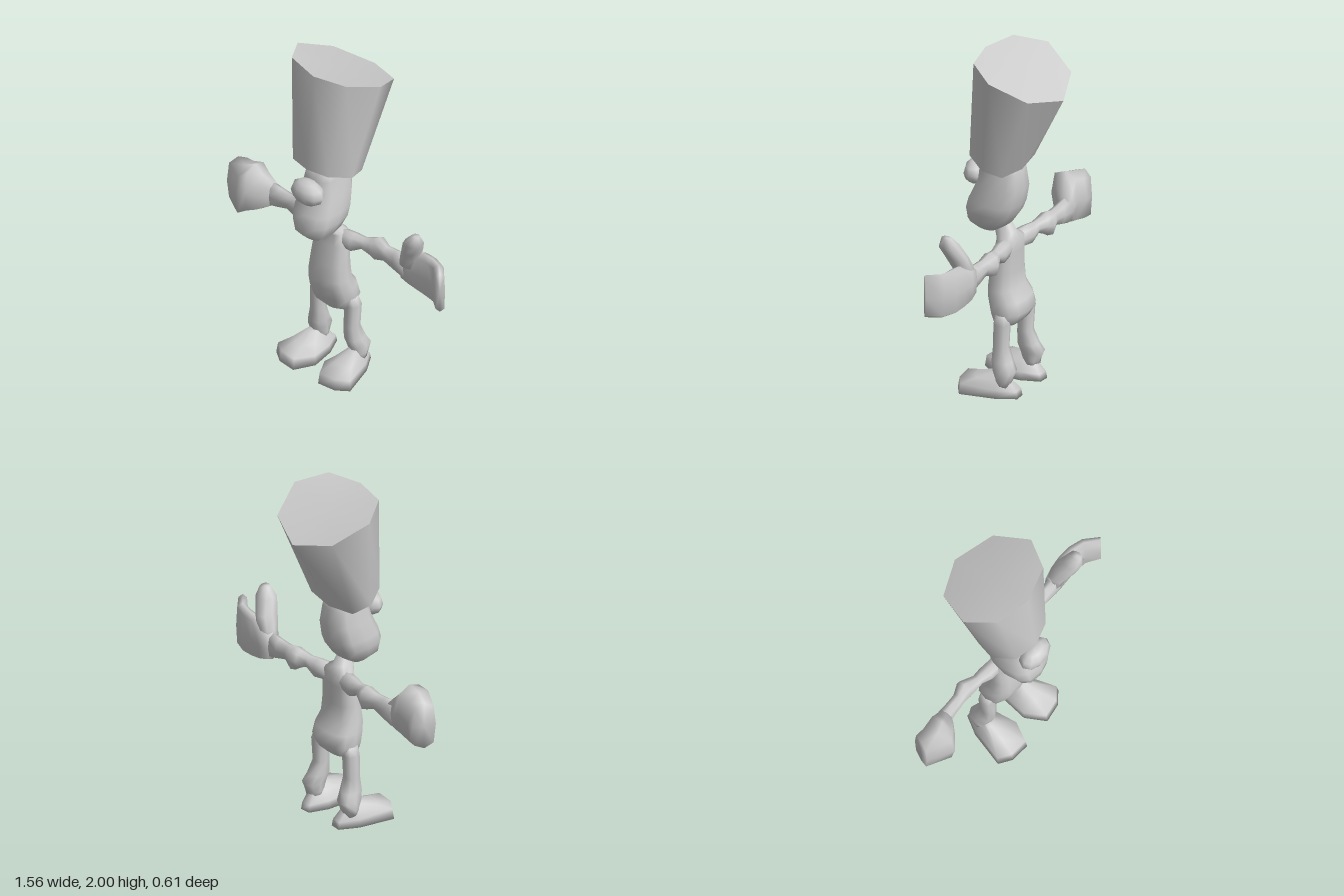
import * as THREE from 'three';

const CX = -0.05; // the body's middle line
const grey = new THREE.MeshStandardMaterial({ color: 0xcccccc });
grey.name = 'plain grey';

// Skin a list of equal-length point rings, cap both ends, face outwards.
function loft(name, rings, sharpCaps = false) {
  const n = rings[0].length, pos = rings.flat(2), idx = [];
  for (let r = 0; r < rings.length - 1; r++)
    for (let k = 0; k < n; k++) {
      const a = r * n + k, b = r * n + (k + 1) % n;
      idx.push(a, b, a + n, b, b + n, a + n);
    }
  const cap = (ring, start, flip) => {
    let s = start;
    if (sharpCaps) { s = pos.length / 3; pos.push(...ring.flat()); }
    const c = pos.length / 3;
    pos.push(...[0, 1, 2].map(i => ring.reduce((t, p) => t + p[i], 0) / n));
    for (let k = 0; k < n; k++) {
      const a = s + k, b = s + (k + 1) % n;
      flip ? idx.push(c, b, a) : idx.push(c, a, b);
    }
  };
  cap(rings[0], 0, true);
  cap(rings.at(-1), (rings.length - 1) * n, false);
  // a negative volume means the rings run the other way round
  const v = i => new THREE.Vector3().fromArray(pos, i * 3);
  let vol = 0;
  for (let i = 0; i < idx.length; i += 3)
    vol += v(idx[i]).dot(v(idx[i + 1]).cross(v(idx[i + 2])));
  if (vol < 0) idx.reverse();
  const g = new THREE.BufferGeometry();
  g.setAttribute('position', new THREE.Float32BufferAttribute(pos, 3));
  g.setIndex(idx);
  g.computeVertexNormals();
  const m = new THREE.Mesh(g, grey);
  m.name = name;
  return m;
}

// Unit ring; a lower power is boxier.
function unitRing(n, power) {
  const f = t => Math.abs(t) < 1e-6 ? 0 : Math.sign(t) * Math.abs(t) ** power;
  return Array.from({ length: n }, (_, k) => {
    const a = k / n * Math.PI * 2;
    return [f(Math.cos(a)), f(Math.sin(a))];
  });
}

// Level ring: y, centre x, half width, back z, front z
const level = (n, power, side = 1) => ([y, x, rx, z0, z1]) =>
  unitRing(n, power).map(([u, w]) => [side * (x + u * rx), y, (z0 + z1) / 2 + w * (z1 - z0) / 2]);

// Upright ring across an arm: x, low y, high y, centre z, half depth, yaw
const upright = (side, power) => ([x, y0, y1, z, t, yaw = 0]) =>
  unitRing(8, power).map(([u, w]) => [
    side * (x - u * t * Math.sin(yaw)), (y0 + y1) / 2 + w * (y1 - y0) / 2, z + u * t * Math.cos(yaw)]);

// Full ring from the half running front to back
const mirrorRing = half => [...half, ...half.slice(1, -1).reverse().map(([x, y, z]) => [-x, y, z])];

export function createModel() {
  const model = new THREE.Group();
  model.name = 'figure';
  model.position.x = CX;

  // Tall flared hat with a slanted top
  model.add(loft('hat', [
    mirrorRing([[0, 1.4, 0.245], [0.13, 1.39, 0.21], [0.195, 1.355, 0.09], [0.165, 1.33, -0.02], [0, 1.32, -0.045]]),
    mirrorRing([[0, 2, 0.19], [0.2, 2, 0.14], [0.3, 1.96, -0.02], [0.22, 1.865, -0.22], [0, 1.81, -0.31]]),
  ], true));

  // Head with a heavy muzzle
  model.add(loft('head', [
    [0.915, 0, 0.05, 0.11, 0.22], [0.97, 0, 0.11, 0.03, 0.275], [1.04, 0, 0.135, -0.015, 0.28],
    [1.1, 0, 0.133, -0.04, 0.265], [1.2, 0, 0.12, -0.06, 0.22], [1.3, 0, 0.1, -0.05, 0.2],
    [1.38, 0, 0.09, -0.03, 0.19],
  ].map(level(12, 0.75))));

  const nose = new THREE.Mesh(new THREE.SphereGeometry(1, 10, 6), grey);
  nose.name = 'nose';
  nose.scale.set(0.108, 0.076, 0.07);
  nose.position.set(0, 1.243, 0.235);
  model.add(nose);

  // Torso running up into a thin neck
  model.add(loft('torso', [
    [0.37, 0, 0.05, -0.01, 0.06], [0.405, 0, 0.13, -0.05, 0.09], [0.47, 0, 0.147, -0.09, 0.115],
    [0.54, 0, 0.14, -0.075, 0.135], [0.6, 0, 0.13, -0.03, 0.135], [0.7, 0, 0.118, -0.025, 0.125],
    [0.82, 0, 0.11, -0.025, 0.1], [0.89, 0, 0.095, -0.03, 0.09], [0.925, 0, 0.045, 0, 0.12],
    [1.0, 0, 0.03, 0.04, 0.13],
  ].map(level(12, 0.8))));

  // Arms, legs and feet on both sides
  const sole = [[0.09, -0.105], [0.15, -0.11], [0.21, -0.01], [0.268, 0.19], [0.2, 0.24], [0.09, 0.252], [0.028, 0.14], [0.045, 0]];
  const footRing = (s, scale, cx, cz, y, rise = 0) =>
    sole.map(([x, z]) => [s * (cx + (x - cx) * scale), y + rise * z, cz + (z - cz) * scale]);
  for (const s of [-1, 1]) {
    const side = s < 0 ? 'right' : 'left';
    model.add(loft(side + 'Arm', [
      [0.05, 0.8, 0.905, 0.025, 0.045], [0.14, 0.79, 0.905, 0.01, 0.045], [0.2, 0.83, 0.9, 0, 0.033],
      [0.25, 0.81, 0.915, -0.015, 0.045], [0.285, 0.785, 0.932, -0.025, 0.052], [0.35, 0.815, 0.908, -0.015, 0.036],
      [0.42, 0.79, 0.915, -0.015, 0.038], [0.5, 0.765, 0.93, -0.015, 0.042],
    ].map(upright(s, 0.85))));
    model.add(loft(side + 'Leg', [
      [0.06, 0.14, 0.045, -0.06, 0.03], [0.1, 0.14, 0.055, -0.065, 0.02], [0.15, 0.14, 0.055, -0.092, 0.045],
      [0.2, 0.13, 0.05, -0.065, 0.06], [0.28, 0.122, 0.042, -0.032, 0.055], [0.42, 0.123, 0.045, -0.04, 0.05],
      [0.47, 0.11, 0.04, -0.03, 0.05],
    ].map(level(8, 0.8, s))));
    model.add(loft(side + 'Foot', [
      footRing(s, 1, 0.14, 0.05, 0), footRing(s, 0.95, 0.14, 0.05, 0.048, 0.07),
      footRing(s, 0.55, 0.14, 0.03, 0.095), footRing(s, 0.25, 0.14, -0.005, 0.13),
    ]));
  }

  // Closed right hand, bulging forward
  model.add(loft('rightHand', [
    [0.47, 0.78, 0.925, -0.005, 0.045], [0.52, 0.75, 0.98, 0.02, 0.07], [0.56, 0.732, 1.04, 0.035, 0.085],
    [0.62, 0.712, 1.01, 0.048, 0.105, 0.2], [0.71, 0.715, 0.998, 0.005, 0.067, -0.4],
  ].map(upright(-1, 0.6))));

  // Open left hand with fingers curling forward and a raised thumb
  model.add(loft('leftHand', [
    [0.475, 0.765, 0.93, -0.02, 0.04], [0.53, 0.745, 0.95, -0.025, 0.045], [0.6, 0.73, 0.985, -0.025, 0.043],
    [0.67, 0.722, 0.99, -0.02, 0.04, 0.2], [0.74, 0.725, 0.99, 0.002, 0.035, 0.6], [0.807, 0.74, 0.995, 0.065, 0.028, 0.85],
  ].map(upright(1, 0.5))));
  model.add(loft('leftThumb', [
    [0.87, 0.51, 0.05, -0.05, 0.03], [0.94, 0.53, 0.055, -0.06, 0.045], [1.01, 0.56, 0.05, -0.05, 0.075],
    [1.09, 0.595, 0.055, -0.01, 0.097], [1.142, 0.612, 0.024, 0.02, 0.08],
  ].map(level(8, 0.8))));

  return model;
}
